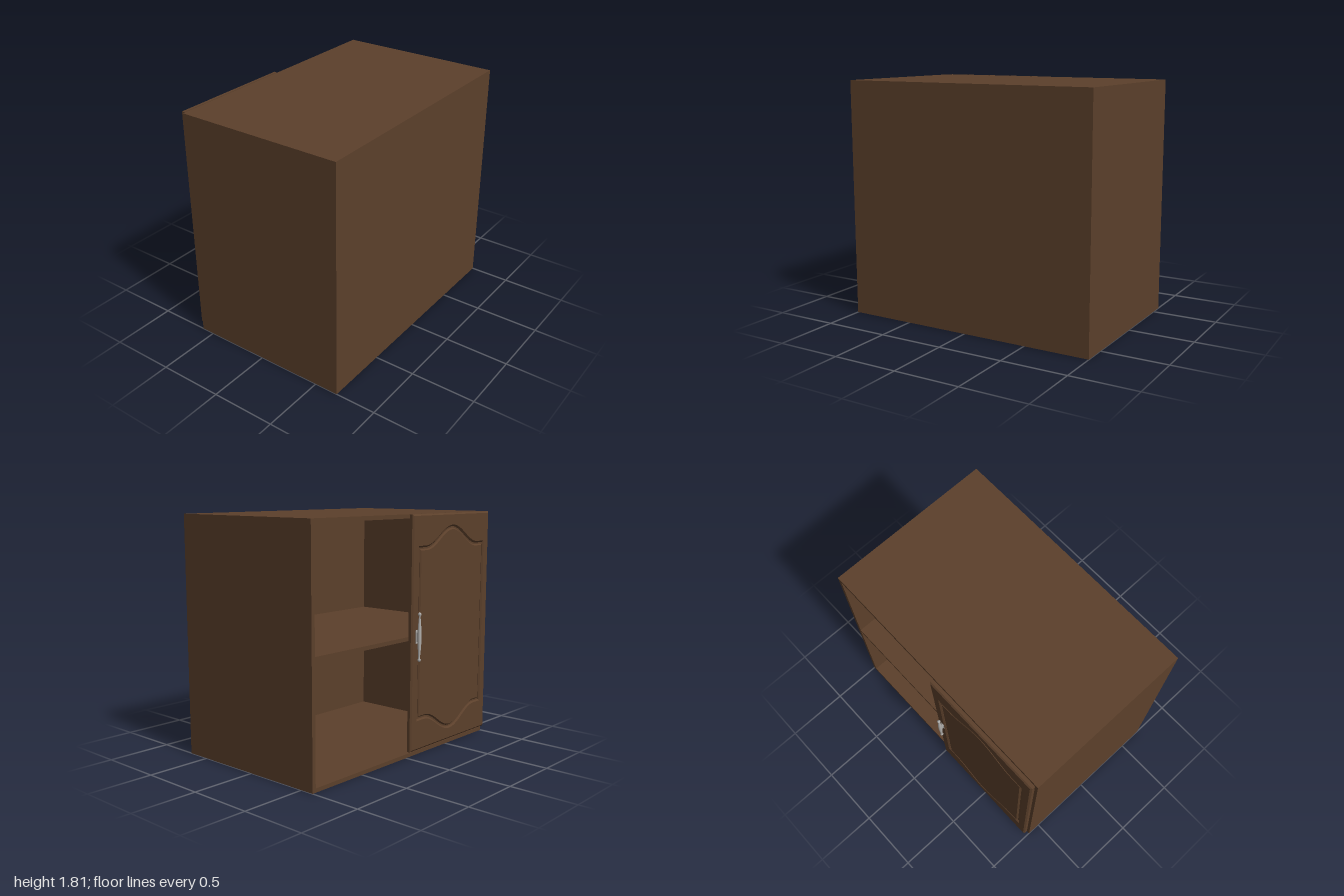
import * as THREE from 'three';

const wood = new THREE.MeshStandardMaterial({ color: 0x5c402b });
wood.name = 'dark wood';
const metal = new THREE.MeshStandardMaterial({ color: 0xb0aeab });
metal.name = 'grey metal';

// Cabinet bounds and panel thickness
const X0 = -0.605, X1 = 0.685, H = 1.81, T = 0.03;
// Door bounds
const DOOR = { z0: 0, z1: 0.98, y0: 0.05, y1: 1.81 };
const DZ = (DOOR.z0 + DOOR.z1) / 2, DY = (DOOR.y0 + DOOR.y1) / 2;

function add(parent, name, geometry, material) {
  const mesh = new THREE.Mesh(geometry, material);
  mesh.name = name;
  parent.add(mesh);
  return mesh;
}

// Box given by its minimum and maximum corners
function box(parent, name, [ax, ay, az], [bx, by, bz], material = wood) {
  const mesh = add(parent, name, new THREE.BoxGeometry(bx - ax, by - ay, bz - az), material);
  mesh.position.set((ax + bx) / 2, (ay + by) / 2, (az + bz) / 2);
  return mesh;
}

// Outline of the door panel, with a swelling curve at top and bottom
function panelOutline(inset) {
  const halfW = 0.41 - inset, shoulder = 0.64 - inset, rise = 0.14, n = 32;
  const pts = [];
  for (const side of [-1, 1]) {
    for (let i = 0; i <= n; i++) {
      const t = -1 + (2 * i) / n;
      const swell = 0.5 + 0.5 * Math.cos(Math.PI * Math.min(1, Math.abs(t) / 0.8));
      pts.push(new THREE.Vector2(DZ - side * t * halfW, DY + side * (shoulder + rise * swell)));
    }
  }
  return pts;
}

// Bevelled layer lying in the plane of the door, its face at x = faceX
function doorLayer(parent, name, shape, faceX, bevel) {
  const geometry = new THREE.ExtrudeGeometry(shape, {
    depth: 0.005, bevelEnabled: true, bevelThickness: 0.01,
    bevelSize: bevel, bevelOffset: -bevel, bevelSegments: 1,
  });
  geometry.rotateY(-Math.PI / 2);
  add(parent, name, geometry, wood).position.x = faceX + 0.015;
}

function buildCarcass() {
  const g = new THREE.Group();
  g.name = 'carcass';
  box(g, 'bottomPanel', [X0, 0, -1], [X1, T, 1]);
  box(g, 'topPanel', [X0, H - T, -1], [X1, H, 1]);
  box(g, 'sidePanelNear', [X0, T, 1 - T], [X1, H - T, 1]);
  box(g, 'sidePanelFar', [X0, T, -1], [X1, H - T, -1 + T]);
  box(g, 'backPanel', [X1 - T, T, -1 + T], [X1, H - T, 1 - T]);
  box(g, 'shelf', [X0, 0.89, -1 + T], [X1 - T, 0.92, 1 - T]);
  return g;
}

function buildDoor() {
  const g = new THREE.Group();
  g.name = 'door';
  const { z0, z1, y0, y1 } = DOOR;
  box(g, 'doorSlab', [-0.632, y0, z0], [-0.612, y1, z1]);

  // Chamfered frame with a curved opening
  const frame = new THREE.Shape([
    new THREE.Vector2(z0, y0), new THREE.Vector2(z1, y0),
    new THREE.Vector2(z1, y1), new THREE.Vector2(z0, y1),
  ]);
  frame.holes.push(new THREE.Path(panelOutline(0)));
  doorLayer(g, 'doorFrame', frame, -0.645, 0.012);

  // Raised centre panel, leaving a groove around it
  doorLayer(g, 'doorPanel', new THREE.Shape(panelOutline(0.012)), -0.644, 0.01);

  // Hinges in the gap behind the door
  for (const y of [0.24, 1.59]) {
    box(g, 'hinge', [-0.613, y - 0.09, 0.93], [X0, y + 0.09, 0.97], metal);
  }
  return g;
}

function buildHandle() {
  const g = new THREE.Group();
  g.name = 'handle';
  // Turned grip: swollen middle, slim necks and small end knobs
  const half = [[0.015, 0], [0.014, 0.05], [0.0105, 0.1], [0.007, 0.14], [0.007, 0.158],
    [0.012, 0.165], [0.012, 0.174], [0.006, 0.181], [0, 0.186]];
  const profile = [
    ...half.slice(1).reverse().map(([r, y]) => new THREE.Vector2(r, -y)),
    ...half.map(([r, y]) => new THREE.Vector2(r, y)),
  ];
  add(g, 'grip', new THREE.LatheGeometry(profile, 20), metal);
  // Mounting plate and stem
  box(g, 'mountingPlate', [0.022, -0.05, -0.012], [0.03, 0.05, 0.012], metal);
  box(g, 'stem', [0, -0.035, -0.006], [0.024, 0.035, 0.006], metal);
  g.position.set(-0.672, 0.92, 0.055);
  return g;
}

export function createModel() {
  const model = new THREE.Group();
  model.name = 'cabinet';
  model.add(buildCarcass(), buildDoor(), buildHandle());
  return model;
}
